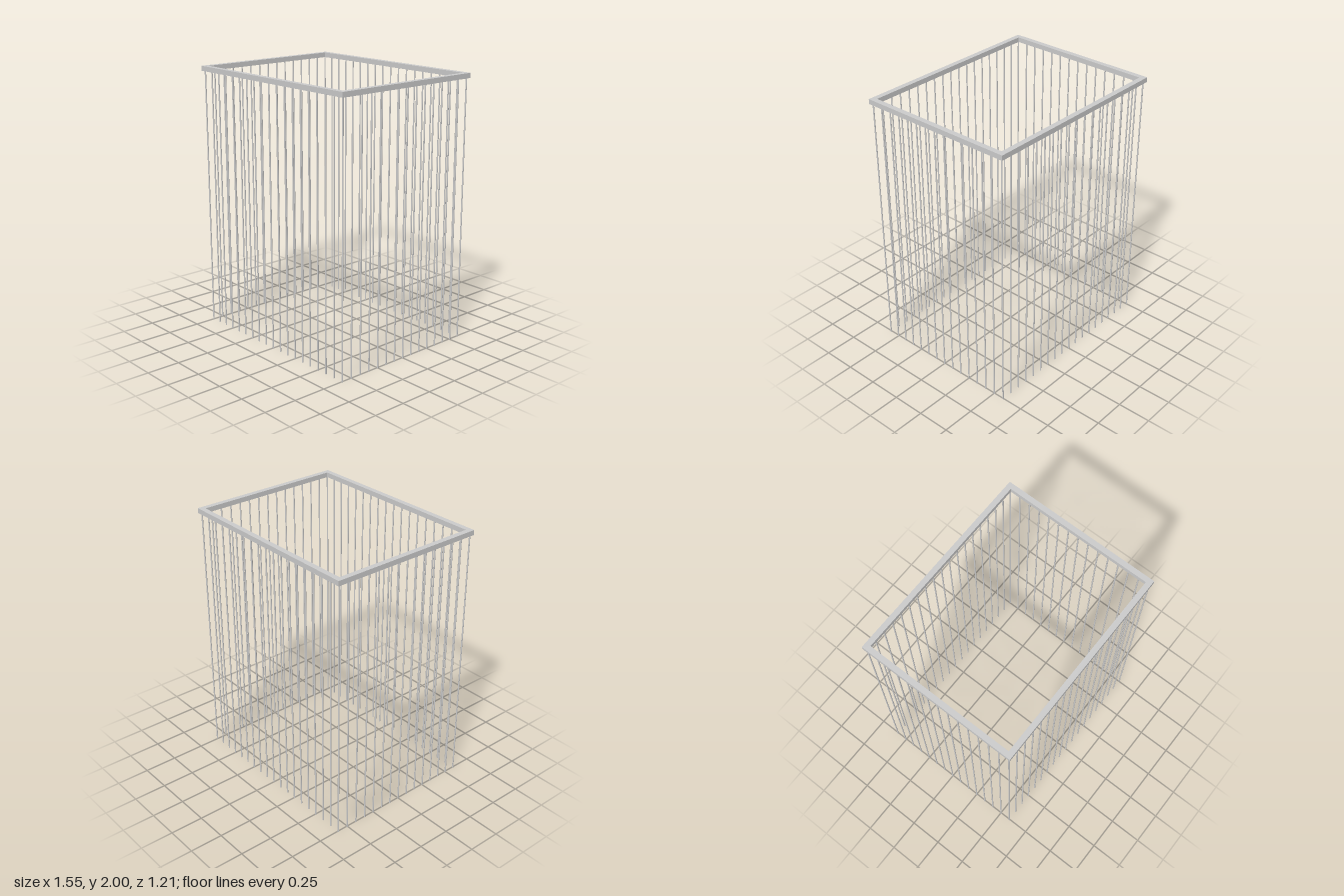
import * as THREE from 'three';

const material = new THREE.MeshStandardMaterial({ color: 0xcccccc });

// Frame rail half-extents, section, and bar spacing
const X = 0.773, Z = 0.607, RAIL = 0.04, RAIL_H = 0.037, TOP = 2;
const PITCH = 0.0838, NX = 9, NZ = 7, BAR_R = 0.0055;

function rectangle(target, x, z) {
  target.moveTo(-x, -z);
  target.lineTo(x, -z);
  target.lineTo(x, z);
  target.lineTo(-x, z);
  target.closePath();
  return target;
}

export function createModel() {
  const model = new THREE.Group();
  model.name = 'barEnclosure';

  // Rectangular top frame with an open middle
  const outline = rectangle(new THREE.Shape(), X, Z);
  outline.holes.push(rectangle(new THREE.Path(), X - RAIL, Z - RAIL));
  const frameGeometry = new THREE.ExtrudeGeometry(outline, { depth: RAIL_H, bevelEnabled: false });
  frameGeometry.rotateX(-Math.PI / 2);
  const frame = new THREE.Mesh(frameGeometry, material);
  frame.name = 'topFrame';
  frame.position.y = TOP - RAIL_H;
  model.add(frame);

  // Thin round bars hanging under all four rails
  const bars = new THREE.Group();
  bars.name = 'verticalBars';
  const height = TOP - RAIL_H;
  const barGeometry = new THREE.CylinderGeometry(BAR_R, BAR_R, height, 12);
  const addBar = (i, k) => {
    const bar = new THREE.Mesh(barGeometry, material);
    bar.name = 'bar';
    bar.position.set(i * PITCH, height / 2, k * PITCH);
    bars.add(bar);
  };
  for (const side of [-1, 1]) {
    for (let i = -NX; i <= NX; i++) addBar(i, side * NZ);
    for (let k = -NZ + 1; k < NZ; k++) addBar(side * NX, k);
  }
  model.add(bars);

  return model;
}
